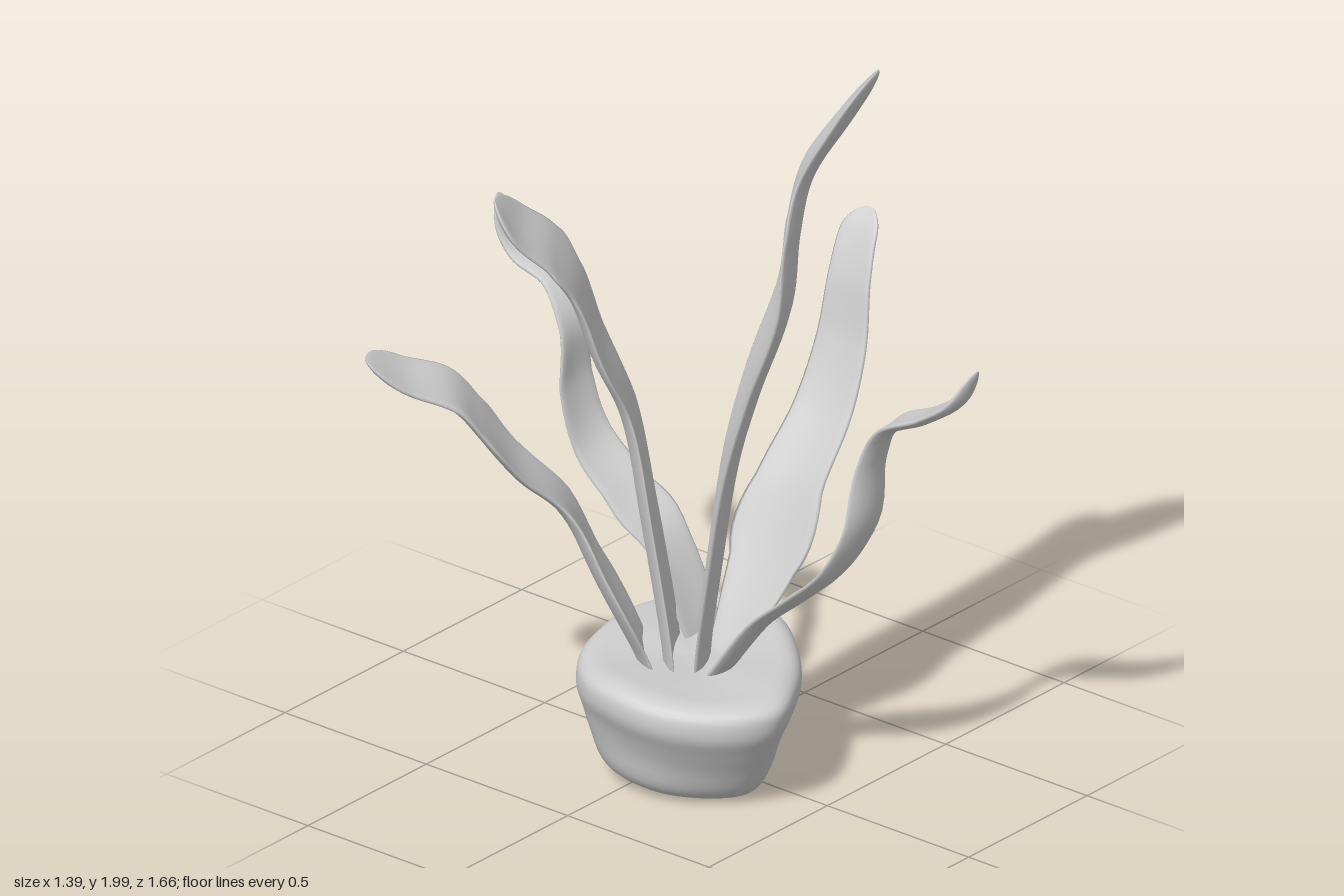
import * as THREE from 'three';

// Skin a list of closed rings (counter-clockwise seen from the last ring) and cap both ends
function loft(rings) {
  const m = rings[0].length, n = rings.length, pos = [], idx = [];
  rings.forEach(r => r.forEach(p => pos.push(p.x, p.y, p.z)));
  for (let i = 0; i < n - 1; i++) {
    for (let j = 0; j < m; j++) {
      const k = (j + 1) % m, a = i * m + j, b = i * m + k, c = b + m, d = a + m;
      idx.push(a, b, c, a, c, d);
    }
  }
  [0, n - 1].forEach((row, end) => {
    const mid = new THREE.Vector3();
    rings[row].forEach(p => mid.addScaledVector(p, 1 / m));
    const centre = pos.length / 3;
    pos.push(mid.x, mid.y, mid.z);
    for (let j = 0; j < m; j++) {
      const a = row * m + j, b = row * m + (j + 1) % m;
      end ? idx.push(centre, a, b) : idx.push(centre, b, a);
    }
  });
  const g = new THREE.BufferGeometry();
  g.setAttribute('position', new THREE.Float32BufferAttribute(pos, 3));
  g.setIndex(idx);
  g.computeVertexNormals();
  return g;
}

const curve = points => new THREE.CatmullRomCurve3(points.map(p => new THREE.Vector3(p[0], p[1], p[2])));

// Blade: stations are [x, y, z, width]; sides give the width direction from root to tip
function bladeGeometry(stations, sides) {
  const path = curve(stations);
  const widths = curve(stations.map(s => [s[3], 0, 0]));
  const roll = curve(sides);
  const rings = [], steps = 64, around = 16;
  for (let i = 0; i <= steps; i++) {
    const t = 1 - Math.pow(1 - i / steps, 1.4); // denser toward the tip
    const T = path.getTangent(t);
    const N = T.clone().cross(roll.getPoint(t)).normalize();
    const W = N.clone().cross(T);
    const c = path.getPoint(t);
    const tip = Math.max(0, (t - 0.88) / 0.12);
    const round = Math.max(0.04, Math.sqrt(Math.max(0, 1 - tip * tip)));
    const w = widths.getPoint(t).x * round;
    const ring = [];
    for (let j = 0; j < around; j++) {
      const a = j / around * Math.PI * 2, u = Math.cos(a);
      // lens section, edges cupped toward the middle of the plant
      const lift = Math.sin(a) * 0.014 * round + w * 0.1 * (u * u - 0.5);
      ring.push(c.clone().addScaledVector(W, u * w / 2).addScaledVector(N, lift));
    }
    rings.push(ring);
  }
  return loft(rings);
}

// Rock: a lumpy outline scaled through a height profile
function rockGeometry() {
  const outline = new THREE.CatmullRomCurve3([
    [-0.13, 0.455], [0.02, 0.39], [0.16, 0.28], [0.29, 0.11], [0.315, -0.04], [0.27, -0.17], [0.1, -0.24],
    [-0.06, -0.24], [-0.22, -0.2], [-0.33, -0.1], [-0.37, 0.02], [-0.35, 0.2], [-0.24, 0.385],
  ].map(([x, z]) => new THREE.Vector3(x, 0, z)), true);
  const profile = curve([
    [0.2, 0.01, 0], [0.5, 0.008, 0], [0.69, 0.02, 0], [0.79, 0.06, 0], [0.86, 0.14, 0], [0.93, 0.21, 0],
    [0.99, 0.27, 0], [0.98, 0.32, 0], [0.88, 0.35, 0], [0.65, 0.35, 0], [0.4, 0.345, 0], [0.15, 0.34, 0],
  ]);
  const cx = -0.03, cz = 0.07, rings = [];
  for (let i = 0; i <= 40; i++) {
    const p = profile.getPoint(i / 40), ring = [];
    const top = p.y / 0.35;
    for (let j = 0; j < 72; j++) {
      const o = outline.getPoint(j / 72), a = j / 72 * Math.PI * 2;
      const bulge = 1 + 0.02 * Math.sin(3 * a + 14 * p.y) * Math.sin(p.y * 9);
      const s = p.x * bulge;
      const x = cx + (o.x - cx) * s;
      // the front undercuts more than the back
      const z = cz + (o.z - cz) * s * (o.z > cz ? 1 - 0.16 * (1 - top) : 1 + 0.06 * (1 - top));
      const y = p.y + top * (0.035 * x - 0.05 * (z - cz) + 0.006 * Math.sin(4 * a + 1) * p.x)
        + (1 - top) * 0.06 * (0.15 - z);
      ring.push(new THREE.Vector3(x, Math.max(0, y), z));
    }
    rings.push(ring);
  }
  return loft(rings);
}

const blades = {
  tallBlade: { sides: [[0.8, 0, -0.6], [0.78, 0, -0.62], [0.85, -0.25, -0.5]], at: [
    [-0.02, 0.25, 0.065, 0.24], [-0.015, 0.38, 0.07, 0.25], [0.01, 0.6, 0.085, 0.27], [0.05, 0.9, 0.11, 0.28],
    [0.11, 1.12, 0.14, 0.3], [0.18, 1.36, 0.19, 0.31], [0.22, 1.55, 0.185, 0.28], [0.285, 1.7, 0.18, 0.25],
    [0.375, 1.85, 0.235, 0.24], [0.45, 1.99, 0.305, 0.21]] },
  backRightBlade: { sides: [[-0.8, 0, 0.55], [-0.78, 0, 0.62], [-0.75, -0.25, 0.62], [-0.75, -0.35, 0.62]], at: [
    [-0.07, 0.25, 0.02, 0.23], [-0.08, 0.4, 0.01, 0.24], [-0.095, 0.75, -0.05, 0.25], [-0.12, 1.05, -0.1, 0.23],
    [-0.195, 1.26, -0.145, 0.23], [-0.245, 1.44, -0.18, 0.22], [-0.3, 1.555, -0.225, 0.22],
    [-0.375, 1.64, -0.28, 0.19], [-0.42, 1.73, -0.325, 0.15]] },
  lowRightBlade: { sides: [[-0.72, 0, 0.7], [-0.68, -0.05, 0.72], [-0.65, -0.25, 0.75], [-0.65, -0.28, 0.75]], at: [
    [-0.1, 0.25, -0.02, 0.23], [-0.13, 0.38, -0.06, 0.25], [-0.2, 0.6, -0.14, 0.25], [-0.245, 0.78, -0.22, 0.22],
    [-0.355, 0.92, -0.305, 0.22], [-0.43, 1.05, -0.365, 0.22], [-0.485, 1.14, -0.42, 0.2],
    [-0.59, 1.2, -0.505, 0.17], [-0.68, 1.27, -0.565, 0.15]] },
  frontBlade: { sides: [[1, 0, -0.12], [1, 0, -0.12]], at: [
    [-0.06, 0.27, 0.13, 0.12], [-0.045, 0.35, 0.18, 0.13], [-0.005, 0.5, 0.28, 0.15], [0.02, 0.6, 0.39, 0.17],
    [0.055, 0.7, 0.49, 0.18], [0.1, 0.83, 0.545, 0.19], [0.14, 1.0, 0.545, 0.15], [0.16, 1.11, 0.585, 0.13],
    [0.185, 1.17, 0.7, 0.12], [0.22, 1.23, 0.78, 0.11], [0.245, 1.32, 0.825, 0.1]] },
  leftBlade: { sides: [[0, -0.15, -1], [0, -0.1, -1], [0, 0, -1]], at: [
    [-0.01, 0.27, 0.11, 0.1], [0.04, 0.36, 0.12, 0.13], [0.17, 0.55, 0.135, 0.24], [0.3, 0.75, 0.125, 0.24],
    [0.45, 0.91, 0.115, 0.21], [0.54, 1.08, 0.105, 0.18], [0.59, 1.25, 0.09, 0.15], [0.645, 1.36, 0.075, 0.13],
    [0.69, 1.42, 0.075, 0.1]] },
  backBlade: { sides: [[-1, -0.3, 0.1], [-1, -0.3, 0.1], [-1, -0.1, 0.1]], at: [
    [0.07, 0.27, 0.02, 0.12], [0.08, 0.38, -0.03, 0.15], [0.085, 0.58, -0.15, 0.16], [0.085, 0.68, -0.28, 0.16],
    [0.09, 0.79, -0.41, 0.15], [0.1, 0.93, -0.475, 0.14], [0.13, 1.1, -0.51, 0.12], [0.17, 1.19, -0.6, 0.11],
    [0.18, 1.225, -0.73, 0.1], [0.185, 1.28, -0.79, 0.09], [0.19, 1.37, -0.825, 0.08]] },
};

export function createModel() {
  const group = new THREE.Group();
  group.name = 'plantOnRock';
  const grey = new THREE.MeshStandardMaterial({ color: 0xcccccc });
  grey.name = 'light grey';
  const add = (name, geometry) => {
    const mesh = new THREE.Mesh(geometry, grey);
    mesh.name = name;
    group.add(mesh);
  };
  add('rockBase', rockGeometry());
  for (const [name, b] of Object.entries(blades)) add(name, bladeGeometry(b.at, b.sides));
  return group;
}
